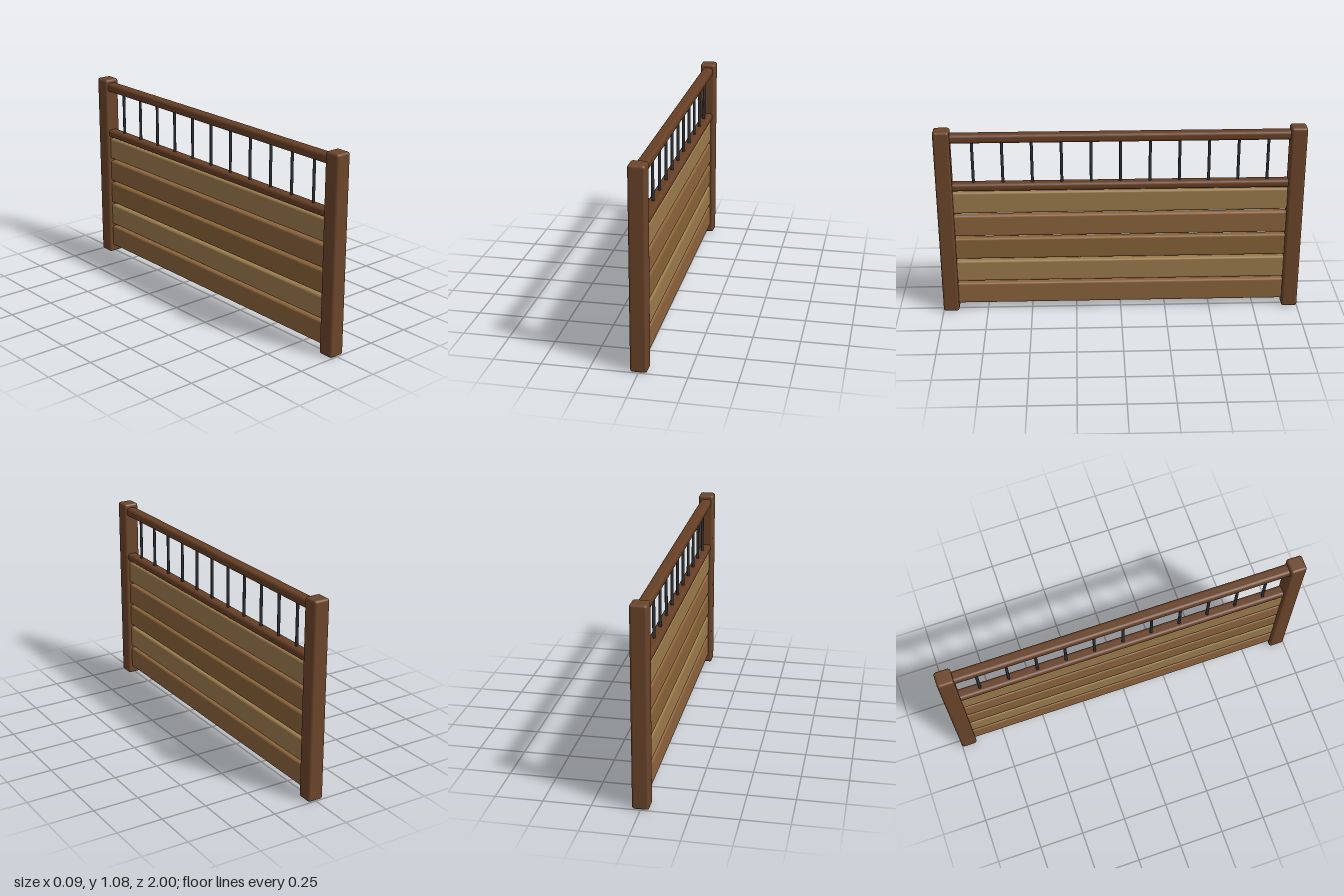
import * as THREE from 'three';
import { RoundedBoxGeometry } from 'three/addons/geometries/RoundedBoxGeometry.js';

const mat = (color) => new THREE.MeshStandardMaterial({ color });

export function createModel() {
  const group = new THREE.Group();
  const postMat = mat(0x6b452a);
  const railMat = mat(0x663f25);
  const barMat = mat(0x2e3036);
  const [light, brown, tan] = [0x9a7a4c, 0x8b633c, 0x876338].map(mat);

  const add = (name, geometry, material, x, y, z) => {
    const mesh = new THREE.Mesh(geometry, material);
    mesh.name = name;
    mesh.position.set(x, y, z);
    group.add(mesh);
  };

  // End posts
  const postGeo = new RoundedBoxGeometry(0.088, 1.083, 0.088, 3, 0.014);
  add('frontPost', postGeo, postMat, 0, 0.5415, 0.956);
  add('backPost', postGeo, postMat, 0, 0.5415, -0.956);

  // Horizontal planks, bottom to top
  const plankGeo = new RoundedBoxGeometry(0.044, 0.126, 1.85, 3, 0.012);
  [brown, light, tan, brown, light].forEach((material, i) => {
    add(`plank${i + 1}`, plankGeo, material, 0, 0.104 + i * 0.1393, 0);
  });

  // Rails above and below the bars
  add('topRail', new RoundedBoxGeometry(0.062, 0.05, 1.86, 4, 0.018), railMat, 0, 1.036, 0);
  add('middleRail', new RoundedBoxGeometry(0.062, 0.045, 1.86, 4, 0.018), railMat, 0, 0.755, 0);

  // Thin metal bars
  const barGeo = new THREE.CylinderGeometry(0.008, 0.008, 0.27, 12);
  for (let i = -5; i <= 5; i++) {
    add(`bar${i + 6}`, barGeo, barMat, 0, 0.895, i * 0.1595);
  }
  return group;
}
